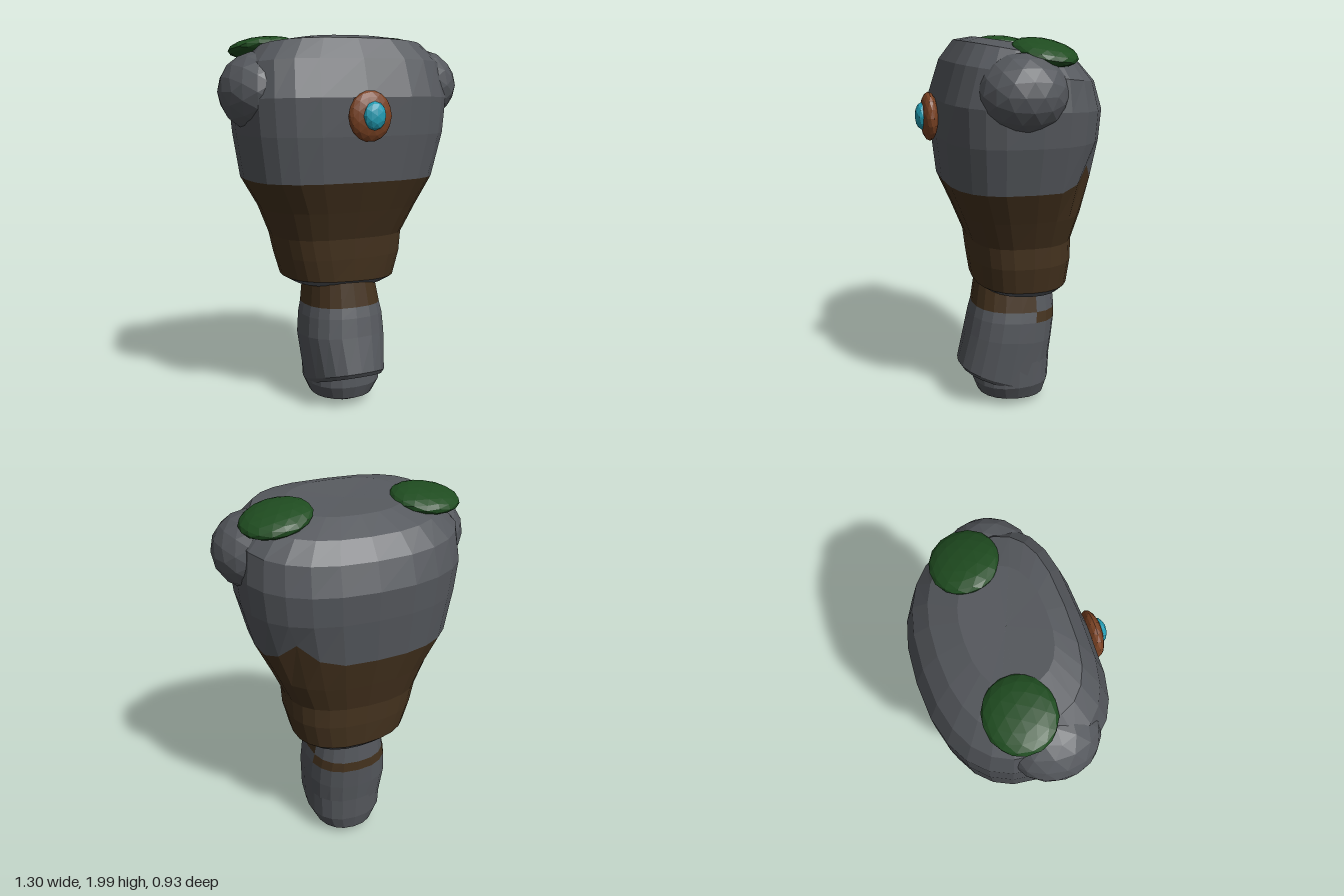
import * as THREE from 'three';

const mat = (name, color) => {
  const m = new THREE.MeshStandardMaterial({ color });
  m.name = name;
  return m;
};

// Point on a rounded-rectangle ring; n and nb set how square the front and back are,
// tilt raises the front, roll raises the left
function ringPoint(r, j, sides) {
  const { y, cx = 0, rx, zf, zb, tilt = 0, roll = 0, n = 2, nb = n, bump } = r;
  const a = (j % sides) / sides * Math.PI * 2;
  const power = 2 / (Math.sin(a) < 0 ? nb : n);
  const round = (v) => Math.sign(v) * Math.pow(Math.abs(v), power);
  const dx = rx * round(Math.cos(a));
  const dz = (zf - zb) / 2 * round(Math.sin(a));
  const lift = bump ? bump[j % sides] || 0 : 0;
  return [cx + dx, y + tilt * dz + roll * dx + lift, (zf + zb) / 2 + dz];
}

// Faceted skin over rings listed from bottom to top; pick chooses the material of a face
function loft(name, rings, sides, materials, pick = () => 0) {
  const buckets = materials.map(() => []);
  for (let i = 0; i < rings.length - 1; i++) {
    for (let j = 0; j < sides; j++) {
      const a = ringPoint(rings[i], j, sides), b = ringPoint(rings[i], j + 1, sides);
      const c = ringPoint(rings[i + 1], j, sides), d = ringPoint(rings[i + 1], j + 1, sides);
      buckets[pick(i, (a[2] + b[2]) / 2)].push(...a, ...c, ...b, ...b, ...c, ...d);
    }
  }
  const geo = new THREE.BufferGeometry();
  geo.setAttribute('position', new THREE.Float32BufferAttribute(buckets.flat(), 3));
  let start = 0;
  buckets.forEach((p, k) => {
    geo.addGroup(start, p.length / 3, k);
    start += p.length / 3;
  });
  geo.computeVertexNormals();
  const mesh = new THREE.Mesh(geo, materials);
  mesh.name = name;
  return mesh;
}

// Faceted ellipsoid
function blob(name, material, pos, radii, rot = [0, 0, 0], detail = 2) {
  const geo = new THREE.IcosahedronGeometry(1, detail);
  geo.scale(...radii);
  geo.computeVertexNormals();
  const mesh = new THREE.Mesh(geo, material);
  mesh.name = name;
  mesh.position.set(...pos);
  mesh.rotation.set(...rot);
  return mesh;
}

export function createModel() {
  const stone = mat('grey stone', 0x55585d);
  const leather = mat('dark brown', 0x44321e);
  const moss = mat('moss green', 0x1f4c20);
  const copper = mat('copper', 0x7a4223);
  const gem = mat('turquoise', 0x229db4);
  const model = new THREE.Group();
  model.name = 'model';

  // Broad torso: brown below, stone above, with a brown peak at the back corner
  model.add(loft('torso', [
    { y: 0.69, rx: 0.001, zf: -0.07, zb: -0.071 },
    { y: 0.68, cx: 0.02, rx: 0.25, zf: 0.13, zb: -0.29, tilt: 0.03, roll: -0.03, n: 2.3 },
    { y: 0.72, cx: 0.01, rx: 0.31, zf: 0.18, zb: -0.33, tilt: 0.02, roll: -0.03, n: 2.6, nb: 2.3 },
    { y: 0.85, cx: 0.008, rx: 0.343, zf: 0.195, zb: -0.343, n: 2.8, nb: 2.4 },
    { y: 0.96, cx: -0.003, rx: 0.358, zf: 0.205, zb: -0.345, n: 2.9, nb: 2.4 },
    { y: 1.11, rx: 0.42, zf: 0.265, zb: -0.385, n: 3, nb: 2.4 },
    { y: 1.27, cx: -0.01, rx: 0.505, zf: 0.333, zb: -0.425, n: 3.1, nb: 2.4, bump: { 20: 0.03, 21: 0.11, 22: 0.03 } },
    { y: 1.5, rx: 0.55, zf: 0.357, zb: -0.455, n: 3.2, nb: 2.4 },
    { y: 1.67, rx: 0.565, zf: 0.365, zb: -0.465, tilt: 0.05, n: 3.2, nb: 2.4 },
    { y: 1.83, rx: 0.545, zf: 0.305, zb: -0.42, tilt: 0.13, n: 3.1, nb: 2.4 },
    { y: 1.925, rx: 0.455, zf: 0.235, zb: -0.345, tilt: 0.18, n: 2.9, nb: 2.4 },
    { y: 1.965, rx: 0.29, zf: 0.15, zb: -0.22, tilt: 0.16, n: 2.4 },
    { y: 1.96, rx: 0.001, zf: -0.03, zb: -0.031 },
  ], 24, [stone, leather], (i) => (i >= 2 && i <= 5 ? 1 : 0)));

  // Leg sleeve with a slanted lower rim, brown front collar and narrow back band
  model.add(loft('legSleeve', [
    { y: 0.15, cx: 0.015, rx: 0.001, zf: 0.02, zb: 0.019 },
    { y: 0.13, cx: 0.018, rx: 0.195, zf: 0.25, zb: -0.2, tilt: 0.36, n: 2.3 },
    { y: 0.155, cx: 0.018, rx: 0.21, zf: 0.267, zb: -0.222, tilt: 0.34, n: 2.3 },
    { y: 0.4, cx: 0.013, rx: 0.232, zf: 0.22, zb: -0.258, tilt: 0.1, n: 2.4 },
    { y: 0.51, cx: 0.017, rx: 0.223, zf: 0.2, zb: -0.27, tilt: 0.06, n: 2.4 },
    { y: 0.567, cx: 0.018, rx: 0.21, zf: 0.185, zb: -0.27, tilt: 0.06, n: 2.4 },
    { y: 0.74, cx: 0.01, rx: 0.185, zf: 0.16, zb: -0.255, n: 2.4 },
  ], 20, [stone, leather], (i, z) => ((z < -0.11 ? i === 4 : i === 5) ? 1 : 0)));

  // Rounded foot showing below the sleeve
  model.add(loft('foot', [
    { y: 0.005, cx: 0.02, rx: 0.001, zf: -0.05, zb: -0.051 },
    { y: 0.014, cx: 0.02, rx: 0.1, zf: 0.08, zb: -0.17, tilt: 0.06 },
    { y: 0.05, cx: 0.02, rx: 0.17, zf: 0.155, zb: -0.22, tilt: 0.04, n: 2.2 },
    { y: 0.13, cx: 0.02, rx: 0.208, zf: 0.183, zb: -0.24, n: 2.3 },
    { y: 0.27, cx: 0.018, rx: 0.212, zf: 0.18, zb: -0.247, n: 2.3 },
  ], 20, [stone]));

  // Shoulder stumps, mostly sunk into the torso
  model.add(blob('leftShoulder', stone, [0.445, 1.745, 0.025], [0.208, 0.192, 0.22]));
  model.add(blob('rightShoulder', stone, [-0.445, 1.715, 0.025], [0.21, 0.2, 0.22]));

  // Moss pads on the shoulders
  model.add(blob('leftMossPad', moss, [0.372, 1.932, -0.103], [0.178, 0.054, 0.162], [-0.14, 0, -0.2]));
  model.add(blob('rightMossPad', moss, [-0.387, 1.935, -0.103], [0.178, 0.052, 0.162], [-0.14, 0, 0.08]));

  // Chest brooch with its gem
  model.add(blob('brooch', copper, [-0.006, 1.6, 0.392], [0.115, 0.125, 0.046]));
  model.add(blob('gem', gem, [0, 1.603, 0.43], [0.06, 0.07, 0.035], [0, 0, 0], 1));

  return model;
}
